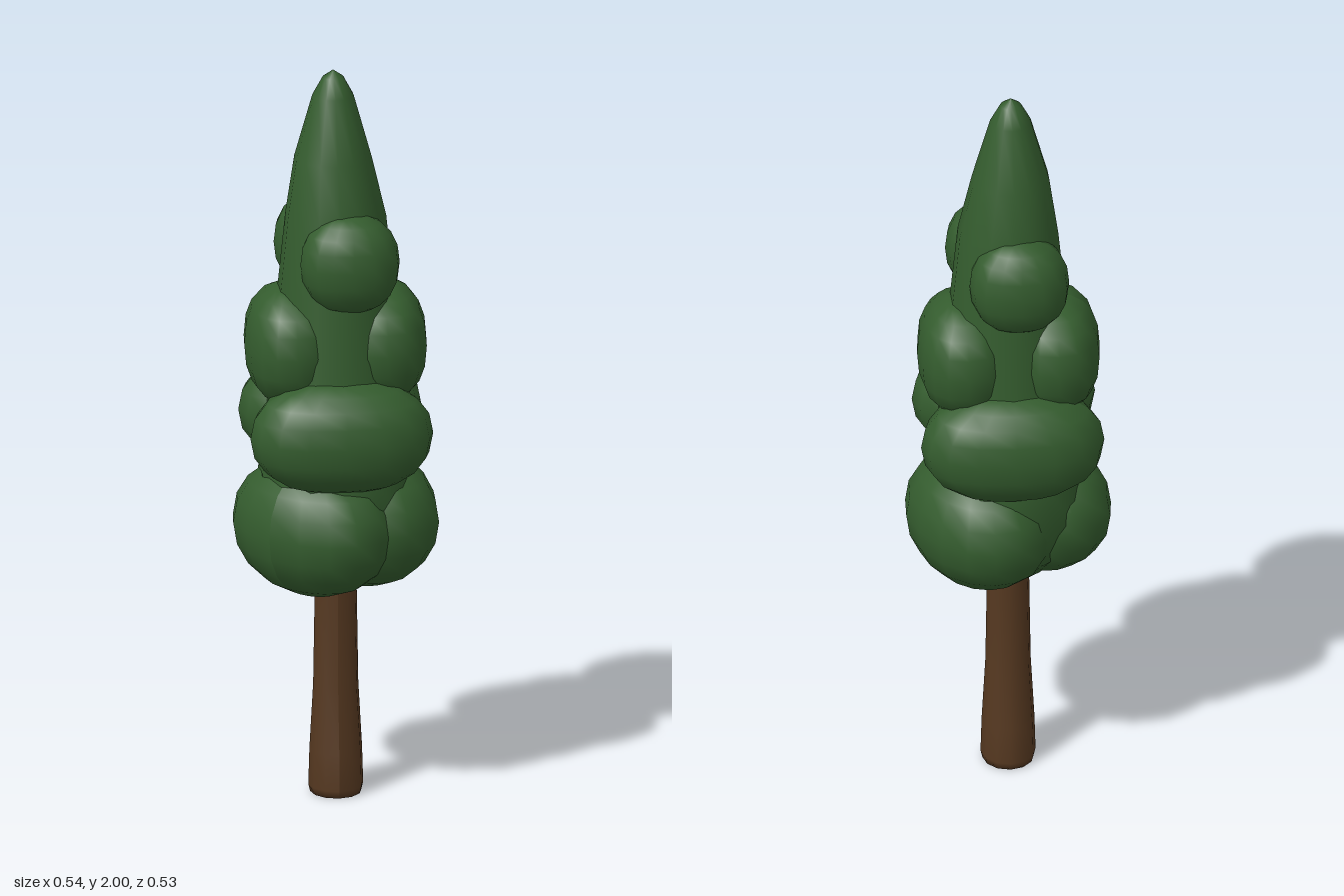
import * as THREE from 'three';

export function createModel() {
  const leaf = new THREE.MeshStandardMaterial({ color: 0x345c2e });
  leaf.name = 'leafGreen';
  const bark = new THREE.MeshStandardMaterial({ color: 0x553820 });
  bark.name = 'barkBrown';
  const tree = new THREE.Group();
  tree.name = 'tree';

  const add = (name, geometry, material, parent = tree) => {
    const mesh = new THREE.Mesh(geometry, material);
    mesh.name = name;
    parent.add(mesh);
    return mesh;
  };
  const lathe = (profile, sides) =>
    new THREE.LatheGeometry(profile.map(([r, y]) => new THREE.Vector2(r, y)), sides);

  // Trunk, flared at the foot and a little wider along z there
  const trunk = lathe([[0, 0], [0.068, 0], [0.073, 0.02], [0.07, 0.12], [0.06, 0.3], [0.056, 0.55], [0.053, 0.7]], 12);
  const tp = trunk.attributes.position;
  for (let i = 0; i < tp.count; i++) {
    const y = tp.getY(i);
    const wide = y < 0.13 ? 1.1 : y < 0.31 ? 0.85 : 0.88;
    tp.setZ(i, tp.getZ(i) * wide);
  }
  trunk.computeVertexNormals();
  add('trunk', trunk, bark);

  // Tall tapering core of the foliage
  const crown = new THREE.Group();
  crown.name = 'foliage';
  tree.add(crown);
  const core = lathe([[0, 0.58], [0.1, 0.59], [0.17, 0.66], [0.215, 0.78], [0.205, 0.9], [0.185, 1.05], [0.168, 1.2],
    [0.154, 1.4], [0.134, 1.6], [0.103, 1.76], [0.055, 1.93], [0.028, 1.98], [0, 2]], 14);
  const cp = core.attributes.position;
  for (let i = 0; i < cp.count; i++) {
    if (cp.getY(i) > 1.7) cp.setX(i, cp.getX(i) - 0.007);
  }
  add('foliageCore', core, leaf, crown);

  // Leaf clump: an ellipsoid, squared off by an exponent below 1
  const clump = (name, [x, y, z], [rx, ry, rz], power = 0.9, turn = 0) => {
    const g = new THREE.SphereGeometry(1, 16, 10);
    const p = g.attributes.position;
    const soft = (v) => Math.sign(v) * Math.abs(v) ** power;
    for (let i = 0; i < p.count; i++) {
      p.setXYZ(i, soft(p.getX(i)) * rx, soft(p.getY(i)) * ry, soft(p.getZ(i)) * rz);
    }
    g.computeVertexNormals();
    const mesh = add(name, g, leaf, crown);
    mesh.position.set(x, y, z);
    mesh.rotation.y = turn;
  };

  // Lowest tier: two big clumps on opposite diagonals
  clump('lowerClumpLeft', [0.077, 0.755, -0.03], [0.185, 0.188, 0.235], 0.97, 0.42);
  clump('lowerClumpRight', [-0.066, 0.755, 0.05], [0.175, 0.188, 0.24], 0.97, 0.72);

  // Alternating pairs climbing the crown
  for (const s of [1, -1]) {
    const face = s > 0 ? 'Front' : 'Back';
    const side = s > 0 ? 'Left' : 'Right';
    clump('middleClump' + face, [0, 1.025, s * 0.13], [0.243, 0.155, 0.137]);
    clump('upperClump' + side, [s * 0.12, 1.245, -0.01], [0.122, 0.16, 0.172], 0.85);
    clump('topClump' + face, [s > 0 ? 0.025 : -0.02, 1.495, s * 0.105], [0.132, 0.135, 0.102]);
  }
  return tree;
}
